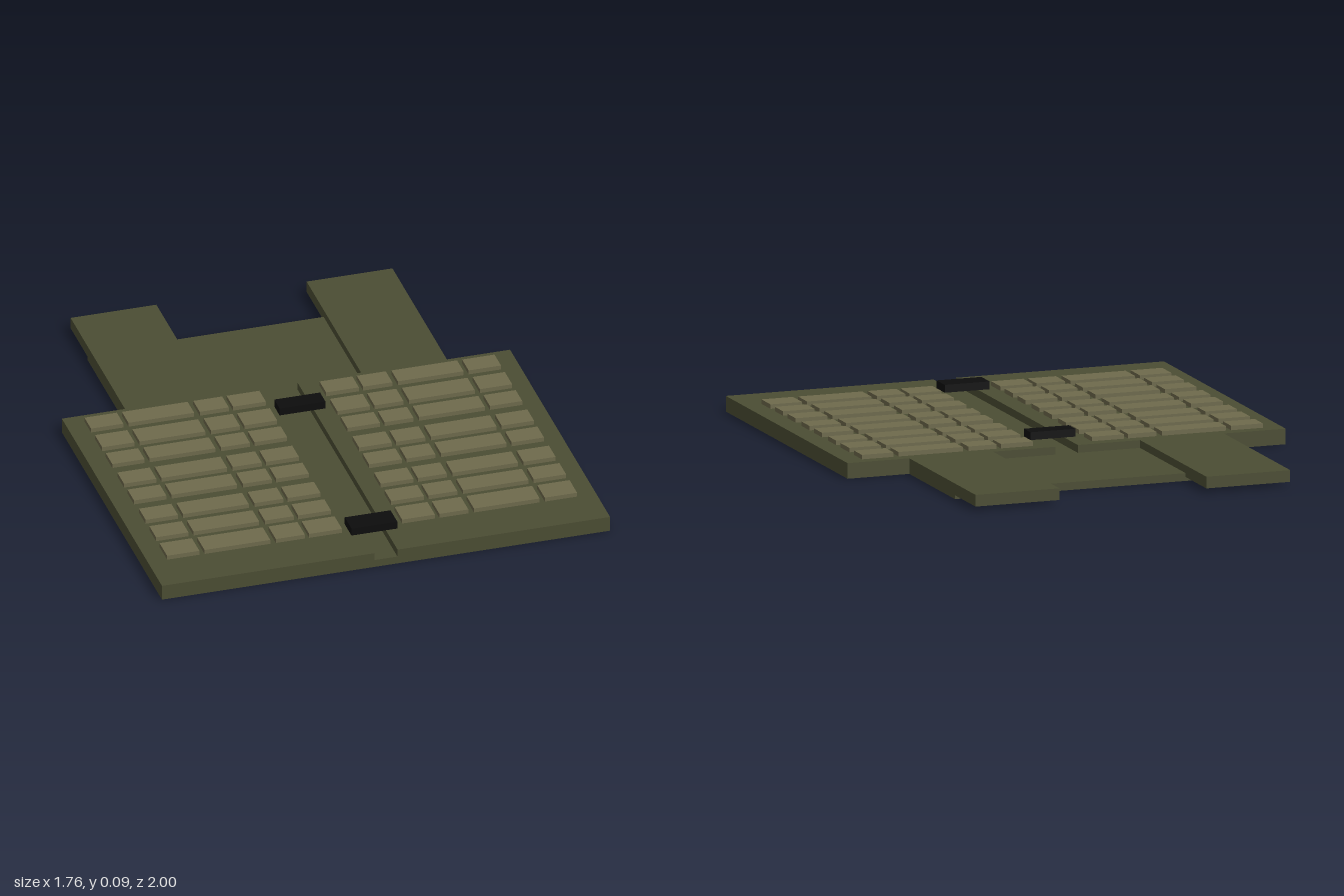
import * as THREE from 'three';

const green = new THREE.MeshStandardMaterial({ name: 'olive green', color: 0x4b4d33 });
const tan = new THREE.MeshStandardMaterial({ name: 'webbing tan', color: 0x6e6a4c });
const black = new THREE.MeshStandardMaterial({ name: 'buckle black', color: 0x0d0d0d });

// Box given by its limits on each axis
function box(name, material, [x0, x1], [y0, y1], [z0, z1]) {
  const mesh = new THREE.Mesh(new THREE.BoxGeometry(x1 - x0, y1 - y0, z1 - z0), material);
  mesh.position.set((x0 + x1) / 2, (y0 + y1) / 2, (z0 + z1) / 2);
  mesh.name = name;
  return mesh;
}

// Flat plate from a plan outline of [x, z] points, between two heights
function plate(name, material, points, y0, y1) {
  const shape = new THREE.Shape(points.map(([x, z]) => new THREE.Vector2(x, -z)));
  const geometry = new THREE.ExtrudeGeometry(shape, { depth: y1 - y0, bevelEnabled: false });
  geometry.rotateX(-Math.PI / 2);
  const mesh = new THREE.Mesh(geometry, material);
  mesh.position.y = y0;
  mesh.name = name;
  return mesh;
}

export function createModel() {
  const model = new THREE.Group();
  model.name = 'vestPanel';

  // Lower layer: full-width body with a narrower back tongue
  model.add(plate('basePlate', green, [
    [-0.88, 1], [0.88, 1], [0.88, -0.295], [0.632, -0.295],
    [0.632, -0.78], [-0.632, -0.78], [-0.632, -0.295], [-0.88, -0.295],
  ], 0, 0.03));

  const columns = [[0.118, 0.247], [0.264, 0.378], [0.4, 0.658], [0.678, 0.805]];
  const rows = [
    [-0.25, -0.165], [-0.115, -0.02], [0.025, 0.11], [0.175, 0.262],
    [0.307, 0.392], [0.455, 0.542], [0.59, 0.677], [0.722, 0.82],
  ];

  for (const side of [-1, 1]) {
    const label = side > 0 ? 'left' : 'right';
    const span = ([a, b]) => (side > 0 ? [a, b] : [-b, -a]);

    // Upper layer: half panel with its shoulder strap, leaving the central channel
    const outline = [
      [0.045, 1], [0.88, 1], [0.88, -0.295], [0.632, -0.295],
      [0.632, -1], [0.295, -1], [0.295, -0.295], [0.045, -0.295],
    ].map(([x, z]) => [x * side, z]);
    model.add(plate(label + 'Panel', green, outline, 0.03, 0.06));

    // Thicker strap end beyond the base plate
    model.add(box(label + 'StrapEnd', green, span([0.295, 0.632]), [0.015, 0.03], [-1, -0.78]));

    // Raised webbing patches
    const webbing = new THREE.Group();
    webbing.name = label + 'Webbing';
    for (const row of rows) {
      for (const column of columns) {
        webbing.add(box('webbingPatch', tan, span(column), [0.06, 0.077], row));
      }
    }
    model.add(webbing);
  }

  // Buckles bridging the channel
  model.add(box('frontBuckle', black, [-0.09, 0.09], [0.06, 0.09], [0.762, 0.85]));
  model.add(box('backBuckle', black, [-0.09, 0.09], [0.06, 0.09], [-0.15, -0.08]));

  return model;
}
